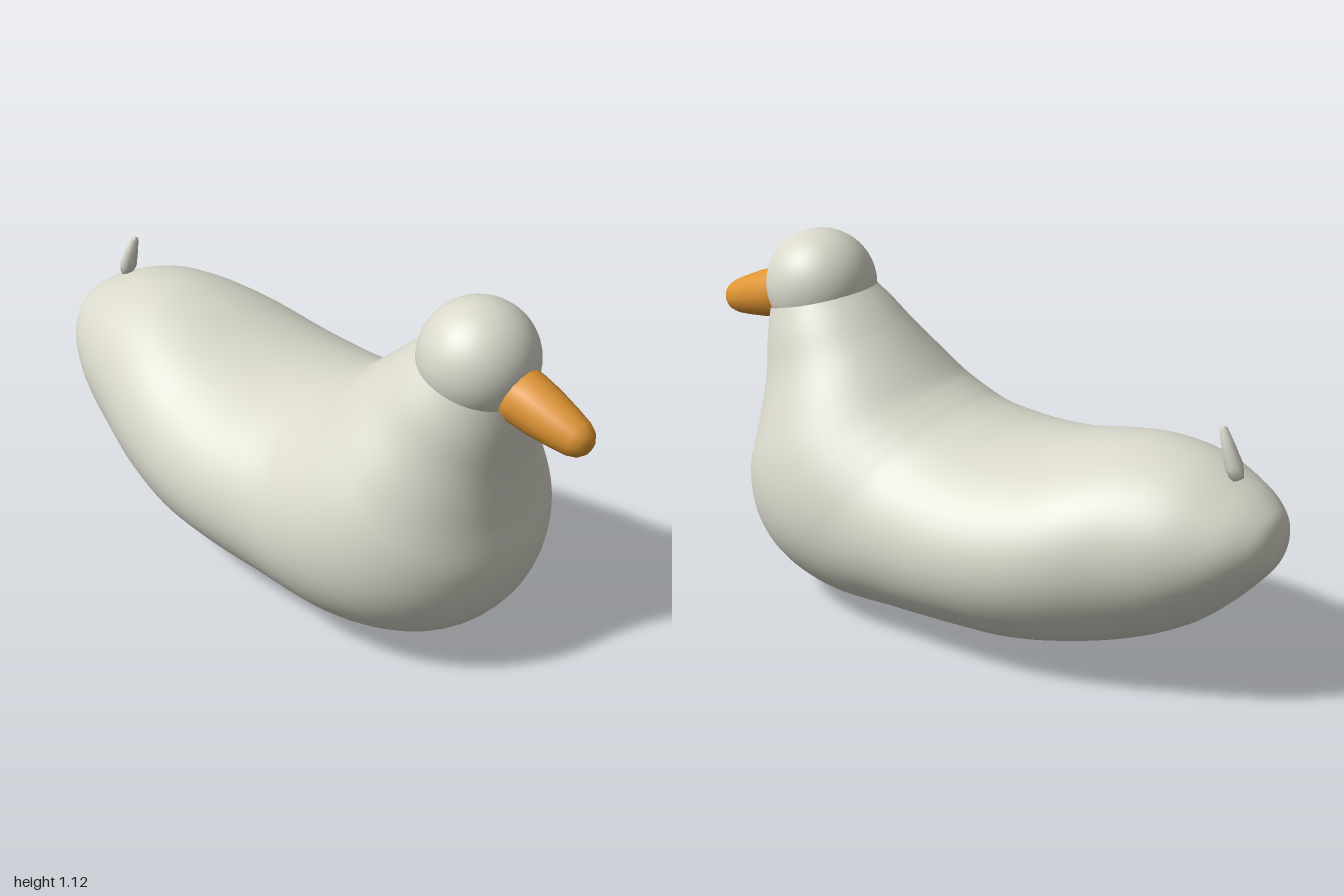
import * as THREE from 'three';
import { mergeVertices } from 'three/addons/utils/BufferGeometryUtils.js';

// Body sections from tail to neck: back z, y / belly z, y / half width
const SECTIONS = [
  [-1.0, 0.495, -1.0, 0.49, 0],
  [-0.985, 0.56, -0.985, 0.43, 0.08],
  [-0.95, 0.60, -0.94, 0.37, 0.145],
  [-0.88, 0.645, -0.87, 0.295, 0.21],
  [-0.75, 0.70, -0.77, 0.21, 0.275],
  [-0.60, 0.716, -0.62, 0.13, 0.33],
  [-0.45, 0.695, -0.45, 0.075, 0.385],
  [-0.29, 0.66, -0.27, 0.038, 0.42],
  [-0.14, 0.645, -0.08, 0.028, 0.435],
  [-0.02, 0.655, 0.16, 0.015, 0.432],
  [0.05, 0.67, 0.42, 0.008, 0.43],
  [0.09, 0.685, 0.63, 0.075, 0.427],
  [0.125, 0.70, 0.75, 0.195, 0.41],
  [0.17, 0.725, 0.795, 0.35, 0.375],
  [0.24, 0.785, 0.775, 0.51, 0.315],
  [0.32, 0.86, 0.766, 0.65, 0.25],
  [0.39, 0.925, 0.772, 0.78, 0.205],
  [0.447, 0.972, 0.77, 0.875, 0.168],
];

// Smooth loft: an oval ring between each back point and belly point
function bodyGeometry(rings = 100, sides = 56) {
  const curve = (f) => new THREE.CatmullRomCurve3(SECTIONS.map(f), false, 'catmullrom', 0.5);
  const back = curve((s) => new THREE.Vector3(0, s[1], s[0]));
  const belly = curve((s) => new THREE.Vector3(0, s[3], s[2]));
  const width = curve((s) => new THREE.Vector3(s[4], 0, 0));
  const positions = [];
  const index = [];
  for (let i = 0; i <= rings; i++) {
    const u = i / rings;
    const top = back.getPoint(u);
    const bottom = belly.getPoint(u);
    const w = Math.max(0, width.getPoint(u).x);
    for (let j = 0; j < sides; j++) {
      const a = (j / sides) * Math.PI * 2;
      const p = top.clone().lerp(bottom, 0.5 - 0.5 * Math.cos(a));
      positions.push(w * Math.sin(a), p.y, p.z);
      if (i < rings) {
        const k = (j + 1) % sides;
        const r = i * sides;
        const n = r + sides;
        index.push(r + j, n + j, r + k, n + j, n + k, r + k);
      }
    }
  }
  let geometry = new THREE.BufferGeometry();
  geometry.setAttribute('position', new THREE.Float32BufferAttribute(positions, 3));
  geometry.setIndex(index);
  geometry = mergeVertices(geometry);
  geometry.computeVertexNormals();
  return geometry;
}

// Lathe shape standing on its base, leaning from y toward z
function leaningLathe(profile, sides, lean) {
  const points = profile.map(([r, y]) => new THREE.Vector2(r, y));
  return new THREE.LatheGeometry(points, sides).rotateX(lean);
}

export function createModel() {
  const model = new THREE.Group();
  const feather = new THREE.MeshStandardMaterial({ name: 'pale feather', color: 0xd9d8cb });
  const orange = new THREE.MeshStandardMaterial({ name: 'beak orange', color: 0xe09532 });

  function add(name, geometry, material, x = 0, y = 0, z = 0) {
    const mesh = new THREE.Mesh(geometry, material);
    mesh.name = name;
    mesh.position.set(x, y, z);
    model.add(mesh);
  }

  add('body', bodyGeometry(), feather);

  // Head: a dome cut along the tilted collar line
  const dome = new THREE.SphereGeometry(0.172, 48, 28, 0, Math.PI * 2, 0, 1.81);
  add('head', dome.rotateX(0.29), feather, 0, 0.957, 0.612);

  // Beak: tapered, with a round tip, dipping forward
  const beak = [[0, 0], [0.081, 0], [0.08, 0.09], [0.075, 0.15], [0.064, 0.22],
    [0.054, 0.27], [0.043, 0.293], [0.024, 0.309], [0, 0.314]];
  add('beak', leaningLathe(beak, 16, Math.PI / 2 + 0.265), orange, 0, 0.922, 0.697);

  // Tail feather: a small curl on the rump
  const curl = [[0, -0.02], [0.019, -0.015], [0.027, 0.02], [0.02, 0.08], [0.012, 0.132], [0, 0.142]];
  add('tailFeather', leaningLathe(curl, 8, 0.36), feather, 0, 0.675, -0.85);

  return model;
}
